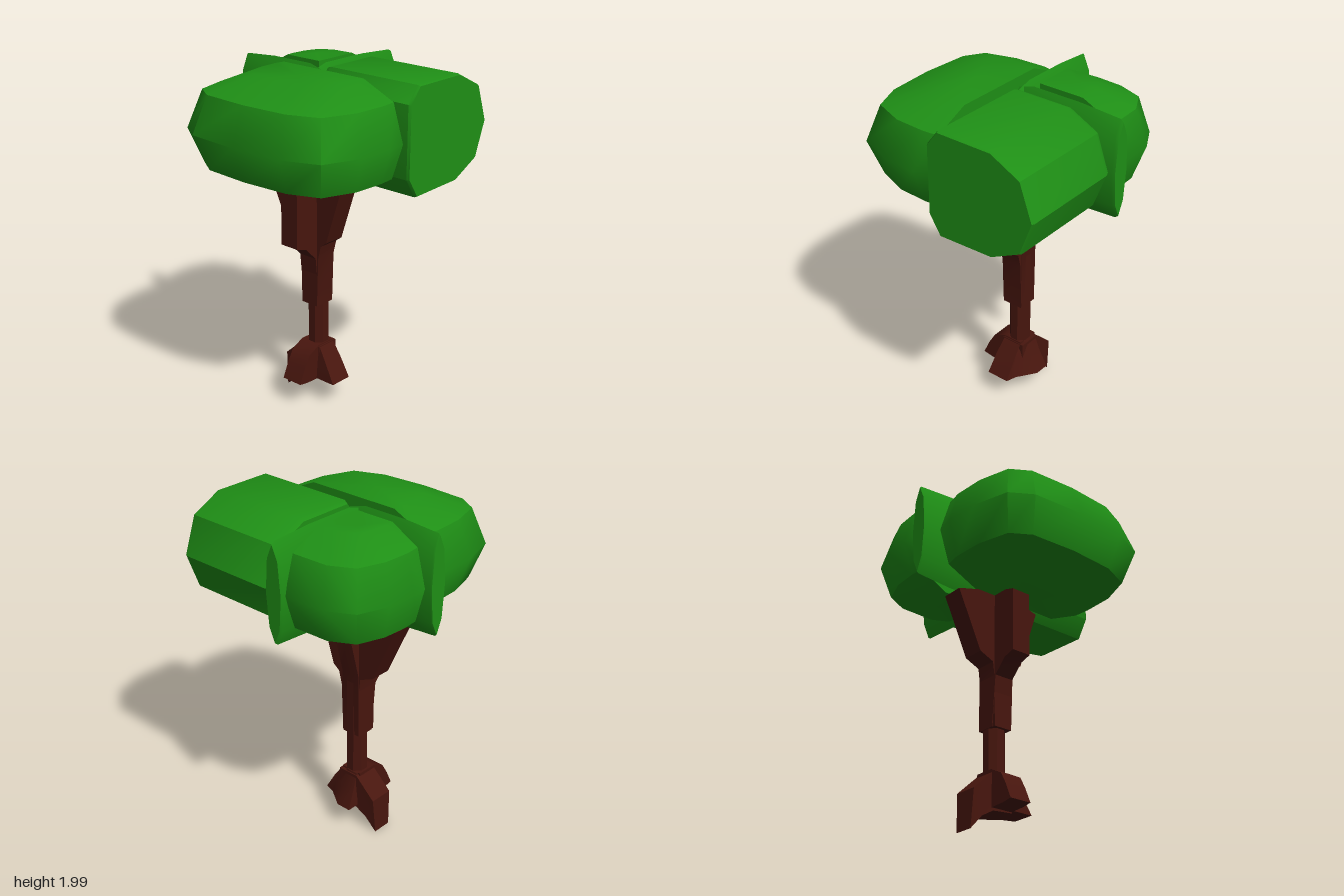
import * as THREE from 'three';
import { toCreasedNormals } from 'three/addons/utils/BufferGeometryUtils.js';

const leaf = new THREE.MeshStandardMaterial({ color: 0x1f9016 });
const bark = new THREE.MeshStandardMaterial({ color: 0x48160e });

// Closed solid from rings of equal point count; the caps are fans round their centres.
function loft(rings) {
  const n = rings[0].length;
  const verts = rings.flat().map((p) => new THREE.Vector3(...p));
  const tris = [];
  for (let r = 0; r < rings.length - 1; r++) {
    for (let i = 0; i < n; i++) {
      const j = (i + 1) % n, a = r * n, b = a + n;
      tris.push([a + i, a + j, b + j], [a + i, b + j, b + i]);
    }
  }
  const cap = (start, flip) => {
    const centre = new THREE.Vector3();
    for (let i = 0; i < n; i++) centre.addScaledVector(verts[start + i], 1 / n);
    const c = verts.push(centre) - 1;
    for (let i = 0; i < n; i++) {
      const j = (i + 1) % n;
      tris.push(flip ? [c, start + j, start + i] : [c, start + i, start + j]);
    }
  };
  cap(0, true);
  cap((rings.length - 1) * n, false);

  // Turn the faces outward whichever way the rings run.
  let volume = 0;
  for (const [a, b, c] of tris) volume += verts[a].dot(verts[b].clone().cross(verts[c]));
  if (volume < 0) tris.forEach((t) => t.reverse());
  const geo = new THREE.BufferGeometry();
  geo.setAttribute('position', new THREE.Float32BufferAttribute(verts.flatMap((v) => v.toArray()), 3));
  geo.setIndex(tris.flat());
  return geo;
}

// Silhouette given across x (or across z), pushed through the other axis from lo to hi.
function slab(points, axis, lo, hi) {
  const shape = new THREE.Shape(points.map(([u, v]) => new THREE.Vector2(u, v)));
  const geo = new THREE.ExtrudeGeometry(shape, { depth: hi - lo, bevelEnabled: false });
  if (axis === 'z') return geo.translate(0, 0, lo);
  return geo.rotateY(-Math.PI / 2).translate(hi, 0, 0);
}

// Rounded clump: an outline in plan, drawn in towards a pivot above and below.
function clump(outline, [px, pz]) {
  const levels = [[1.4, 0.52], [1.49, 0.88], [1.69, 1], [1.9, 0.88], [1.99, 0.52]];
  return loft(levels.map(([y, s]) =>
    outline.map(([x, z]) => [px + (x - px) * s, y, pz + (z - pz) * s])));
}

export function createModel() {
  const tree = new THREE.Group();
  tree.name = 'tree';
  const add = (name, geo, mat, crease = 0.6) => {
    const mesh = new THREE.Mesh(toCreasedNormals(geo, crease), mat);
    mesh.name = name;
    tree.add(mesh);
  };

  // Foliage: large side clump and smaller back clump
  add('sideFoliage', clump([
    [-0.04, -0.52], [-0.15, -0.54], [-0.36, -0.53], [-0.57, -0.47], [-0.65, -0.34], [-0.67, -0.02],
    [-0.65, 0.3], [-0.57, 0.5], [-0.36, 0.58], [-0.15, 0.59], [-0.04, 0.58],
  ], [-0.04, 0.02]), leaf, 0.8);
  add('backFoliage', clump([
    [0.1, -0.59], [0.2, -0.6], [0.37, -0.59], [0.54, -0.53], [0.62, -0.38], [0.63, -0.13], [0.1, -0.13],
  ], [0.1, -0.13]), leaf, 0.8);

  // Front clump: rounded profile run along z with slightly bevelled ends
  const profile = [
    [-0.03, 1.9], [0.04, 1.99], [0.38, 1.99], [0.56, 1.9], [0.635, 1.69],
    [0.56, 1.49], [0.38, 1.4], [0.04, 1.39], [-0.03, 1.5],
  ];
  add('frontFoliage', loft([[-0.02, 0.96], [0.01, 1], [0.6, 1], [0.615, 0.98]].map(([z, s]) =>
    profile.map(([x, y]) => [0.3 + (x - 0.3) * s, 1.69 + (y - 1.69) * s, z]))), leaf);

  // Thin lens-shaped leaf walls between the clumps
  const lens = [[0, 0.3], [0.04, 0.21], [0.058, 0], [0.04, -0.21], [0, -0.3],
    [-0.04, -0.21], [-0.058, 0], [-0.04, 0.21]];
  add('sideLeafWall', loft([[0, 0.9], [0.1, 1], [0.4, 1], [0.64, 0.95], [0.66, 0.9]].map(([x, s]) =>
    lens.map(([t, h]) => [x, 1.69 + h * s, -0.08 + t * s]))), leaf);
  add('backLeafWall', loft([[-0.02, 0.9], [-0.13, 1], [-0.4, 1], [-0.61, 0.95], [-0.62, 0.92]].map(([z, s]) =>
    lens.map(([t, h]) => [0.03 + t * s, 1.69 + h * s, z]))), leaf);

  // Trunk column
  const column = new THREE.CylinderGeometry(0.062, 0.062, 0.75, 8, 1);
  column.rotateY(Math.PI / 8).translate(0.027, 0.675, -0.068);
  add('trunk', column, bark);

  // Crossed branch flares under the foliage
  add('sideBranches', slab([
    [-0.21, 1.38], [-0.21, 1], [-0.14, 0.98], [-0.06, 0.9], [-0.03, 0.6], [0.08, 0.6],
    [0.085, 1], [0.175, 1.36], [0.17, 1.38], [0.02, 1.45],
  ], 'z', -0.13, -0.01), bark);
  add('frontBackBranches', slab([
    [0.18, 1.38], [0.06, 1.01], [0.02, 0.98], [0, 0.9], [-0.01, 0.6], [-0.125, 0.6],
    [-0.13, 0.9], [-0.14, 0.98], [-0.23, 1.02], [-0.385, 1.36], [-0.07, 1.45],
  ], 'x', -0.05, 0.08), bark);

  // Roots: side root, longer back root, and a webbed root towards the front
  add('sideRoot', slab([
    [0.08, 0.35], [-0.04, 0.35], [-0.12, 0.31], [-0.16, 0.24], [-0.2, 0.15], [-0.14, 0.14], [0.08, 0.13],
  ], 'z', -0.14, -0.005), bark);
  const backProfile = [[0, 0.34], [-0.13, 0.34], [-0.26, 0.22], [-0.268, 0], [-0.2, 0.08], [-0.13, 0.12], [0, 0.13]];
  const backRoot = slab(backProfile, 'x', -0.045, 0.1);
  // narrow the foot of the back root
  const pos = backRoot.attributes.position;
  for (let i = 0; i < pos.count; i++) {
    const s = 0.8 + 0.2 * Math.min(1, pos.getY(i) / 0.12);
    pos.setX(i, 0.027 + (pos.getX(i) - 0.027) * s);
  }
  backRoot.deleteAttribute('normal');
  add('backRoot', backRoot, bark);
  add('frontRoot', loft([
    [0.35, -0.035, -0.125, 0.09, -0.01, 0.05, -0.01],
    [0.25, -0.05, -0.13, 0.125, 0.06, 0.08, 0.035],
    [0.14, -0.06, -0.14, 0.175, 0.125, 0.1, 0.06],
  ].map(([y, x0, z0, x1, z1, wx, wz]) => [
    [x0, y, z0], [x1, y, z0], [x1, y, -0.05], [wx, y, wz], [0.08, y, z1], [x0, y, z1],
  ])), bark, 0.9);

  return tree;
}
